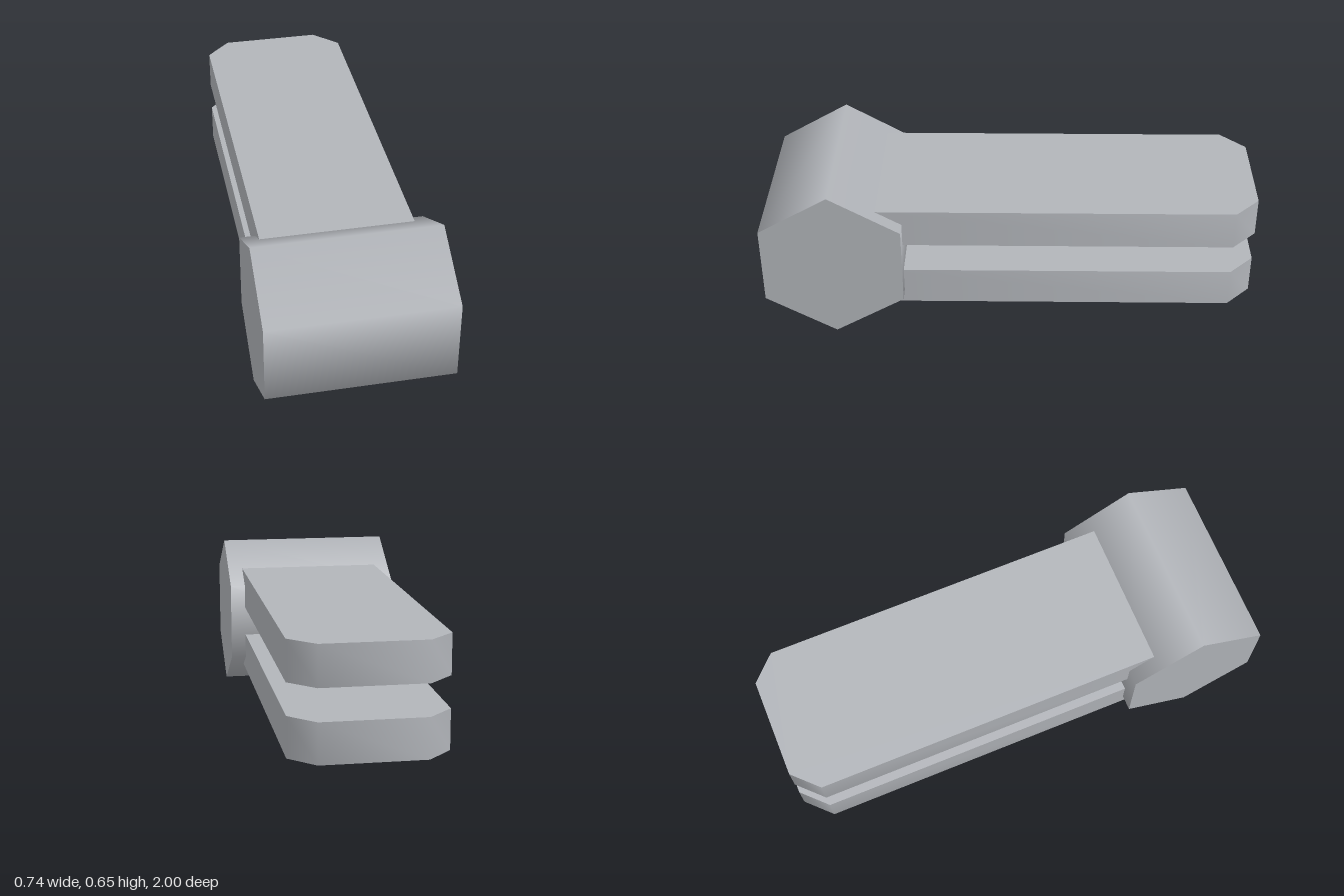
import * as THREE from 'three';
import { toCreasedNormals } from 'three/addons/utils/BufferGeometryUtils.js';

export function createModel() {
  const group = new THREE.Group();
  const steel = new THREE.MeshStandardMaterial({ color: 0xb2b5ba });
  steel.name = 'light grey steel';

  // Hexagonal head lying across the front, points up and down
  const headGeometry = new THREE.CylinderGeometry(0.327, 0.327, 0.736, 6, 1, false, Math.PI / 6);
  headGeometry.rotateZ(Math.PI / 2);
  const head = new THREE.Mesh(headGeometry, steel);
  head.name = 'hexHead';
  head.position.set(0, 0.327, 0.717);
  group.add(head);

  // Flat prong with chamfered rear corners, its front end set into the head
  const w = 0.305, front = -0.55, back = 1, cut = 0.1;
  const outline = new THREE.Shape([
    [-w, front], [w, front], [w, back - cut],
    [w - cut, back], [cut - w, back], [-w, back - cut],
  ].map(([x, y]) => new THREE.Vector2(x, y)));
  const extruded = new THREE.ExtrudeGeometry(outline, { depth: 0.16, bevelEnabled: false });
  extruded.rotateX(-Math.PI / 2);
  const prongGeometry = toCreasedNormals(extruded, Math.PI / 3);

  for (const [name, y] of [['lowerProng', 0.106], ['upperProng', 0.391]]) {
    const prong = new THREE.Mesh(prongGeometry, steel);
    prong.name = name;
    prong.position.y = y;
    group.add(prong);
  }
  return group;
}
